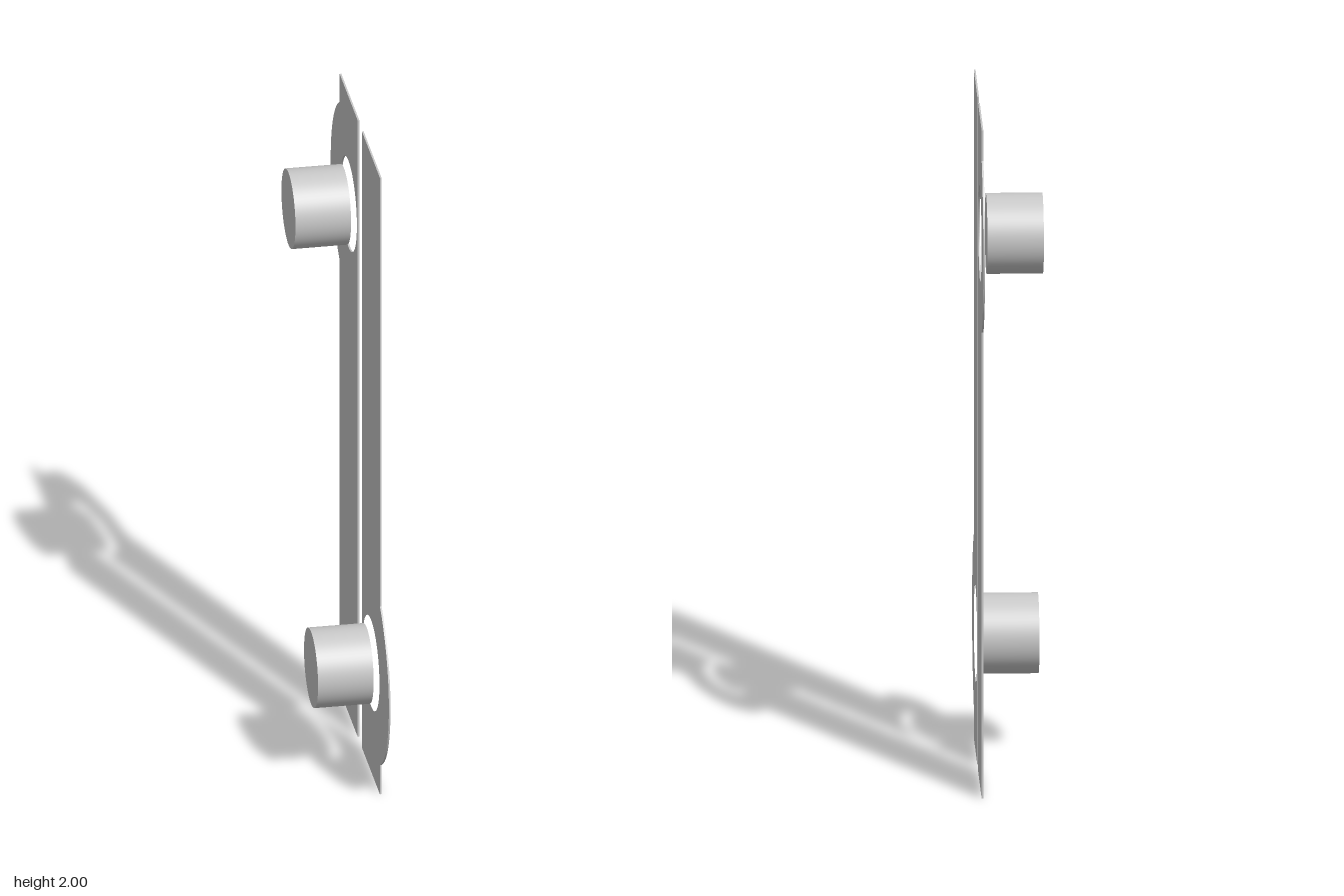
import * as THREE from 'three';

const grey = new THREE.MeshStandardMaterial({ color: 0xc8c8c8 });
grey.name = 'satin grey';

const INNER = 0.035, OUTER = 0.335, HEIGHT = 2;   // strip edges across z, strip height
const BOSS_Z = 0.188, BOSS_R = 0.296;             // rounded bulge around the lock
const HOLE_R = 0.14, PIN_R = 0.117;
const PLATE_X = 0.085, PLATE_T = 0.005;
const PIN_X0 = -0.091, PIN_X1 = 0.072;

// Thin strip with a rounded bulge on its outer edge and a round hole
function plateGeometry(side, y) {
  const a = Math.acos((OUTER - BOSS_Z) / BOSS_R);
  const h = BOSS_R * Math.sin(a);
  const shape = new THREE.Shape();
  shape.moveTo(side * INNER, 0);
  shape.lineTo(side * OUTER, 0);
  shape.lineTo(side * OUTER, y - h);
  if (side > 0) shape.absarc(BOSS_Z, y, BOSS_R, -a, a, false);
  else shape.absarc(-BOSS_Z, y, BOSS_R, Math.PI + a, Math.PI - a, true);
  shape.lineTo(side * OUTER, HEIGHT);
  shape.lineTo(side * INNER, HEIGHT);
  shape.closePath();

  const hole = new THREE.Path();
  hole.absarc(side * BOSS_Z, y, HOLE_R, 0, Math.PI * 2, true);
  shape.holes.push(hole);

  const geo = new THREE.ExtrudeGeometry(shape, { depth: PLATE_T, bevelEnabled: false, curveSegments: 48 });
  geo.rotateY(Math.PI / 2);   // shape x runs along -z, thickness along +x
  geo.translate(PLATE_X, 0, 0);
  return geo;
}

// One plate and the round pin set behind its hole
function makeHalf(name, side, y) {
  const half = new THREE.Group();
  half.name = name;

  const plate = new THREE.Mesh(plateGeometry(side, y), grey);
  plate.name = 'plate';

  const pinGeo = new THREE.CylinderGeometry(PIN_R, PIN_R, PIN_X1 - PIN_X0, 64);
  pinGeo.rotateZ(-Math.PI / 2);
  const pin = new THREE.Mesh(pinGeo, grey);
  pin.name = 'pin';
  pin.position.set((PIN_X0 + PIN_X1) / 2, y, -side * BOSS_Z);

  half.add(plate, pin);
  return half;
}

export function createModel() {
  const model = new THREE.Group();
  model.name = 'pairedPlates';
  model.add(makeHalf('rearHalf', 1, 1.652), makeHalf('frontHalf', -1, 0.352));
  return model;
}
